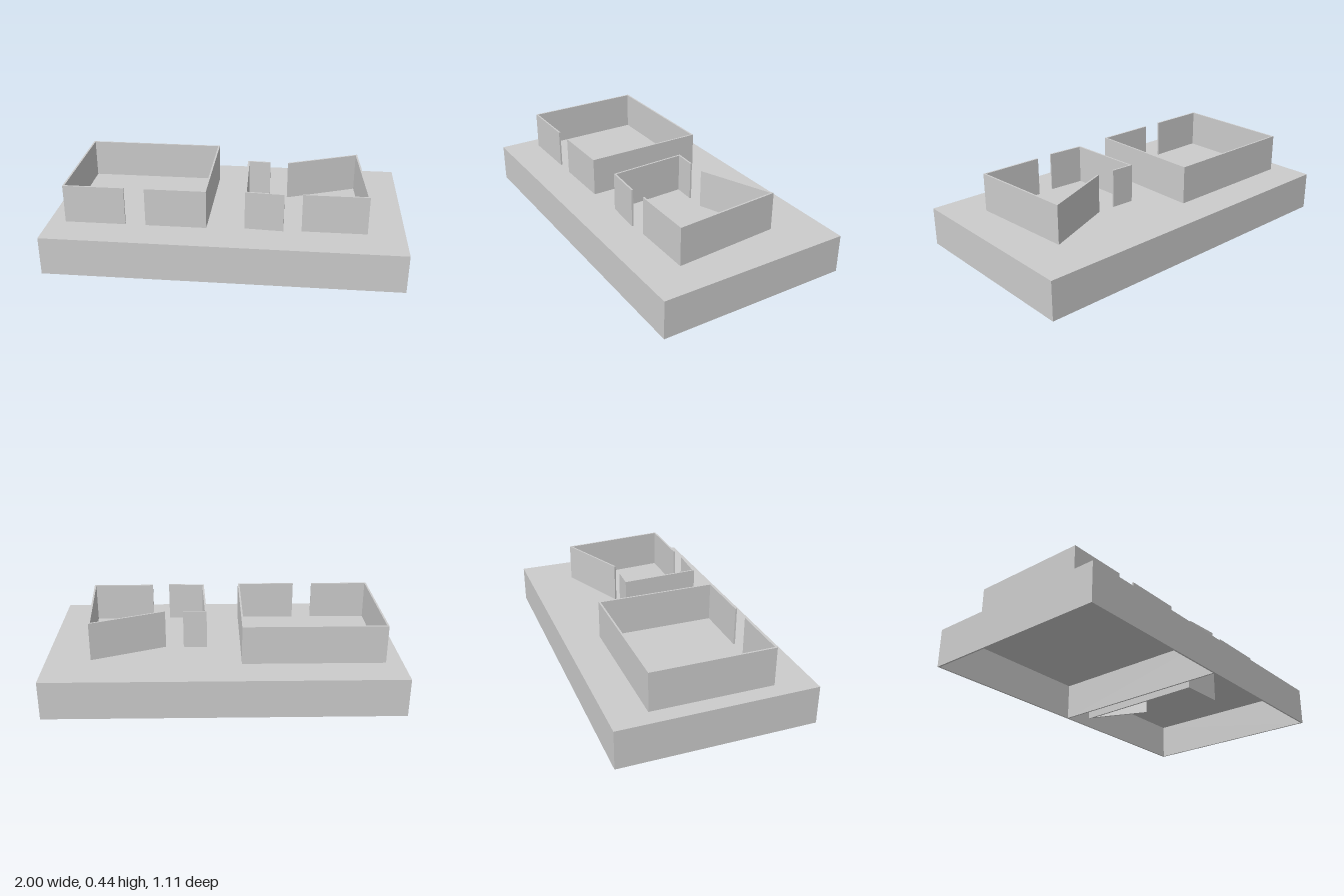
import * as THREE from 'three';

const material = new THREE.MeshStandardMaterial({ color: 0xcccccc, flatShading: true });
const STOREY = 0.222, THICK = 0.01, HALF_X = 1, HALF_Z = 0.555;

// Thin wall with mitred corners along a plan path of [x, z] points.
function wall(name, path, bottom, height) {
  const pts = path.map(([x, z]) => new THREE.Vector2(x, -z));
  const left = [], right = [];
  pts.forEach((p, i) => {
    const before = p.clone().sub(pts[Math.max(i - 1, 0)]).normalize();
    const after = pts[Math.min(i + 1, pts.length - 1)].clone().sub(p).normalize();
    if (i === 0) before.copy(after);
    if (i === pts.length - 1) after.copy(before);
    const n1 = new THREE.Vector2(-before.y, before.x);
    const n2 = new THREE.Vector2(-after.y, after.x);
    const mitre = n1.clone().add(n2).normalize();
    mitre.multiplyScalar(THICK / 2 / mitre.dot(n2));
    left.push(p.clone().add(mitre));
    right.unshift(p.clone().sub(mitre));
  });
  const geometry = new THREE.ExtrudeGeometry(new THREE.Shape([...left, ...right]), {
    depth: height, bevelEnabled: false,
  });
  geometry.rotateX(-Math.PI / 2).translate(0, bottom, 0);
  const mesh = new THREE.Mesh(geometry, material);
  mesh.name = name;
  return mesh;
}

function box(name, w, h, d, y) {
  const mesh = new THREE.Mesh(new THREE.BoxGeometry(w, h, d), material);
  mesh.name = name;
  mesh.position.y = y;
  return mesh;
}

export function createModel() {
  const model = new THREE.Group();
  model.name = 'twoStoreyHouse';

  // Lower storey: open underneath, closed by a thin floor plate on top
  const lower = new THREE.Group();
  lower.name = 'lowerStorey';
  const plate = 0.006;
  const ox = HALF_X - THICK / 2, oz = HALF_Z - THICK / 2;
  const wallHeight = STOREY - plate;
  lower.add(
    box('floorPlate', HALF_X * 2, plate, HALF_Z * 2, STOREY - plate / 2),
    wall('outerWall', [[0, oz], [ox, oz], [ox, -oz], [-ox, -oz], [-ox, oz], [0, oz]], 0, wallHeight),
    box('dividerWall', THICK, wallHeight, HALF_Z * 2 - THICK * 2, wallHeight / 2),
    wall('partition', [[0.33, 0.33], [0.08, 0.323], [0.09, -0.425], [0.23, -0.1]], 0, wallHeight),
  );

  // Upper storey: two roofless rooms with doorways
  const upper = new THREE.Group();
  upper.name = 'upperStorey';
  const rooms = {
    largeRoomWall: [[-0.56, 0.338], [-0.9, 0.338], [-0.9, -0.342], [-0.105, -0.342], [-0.105, 0.338], [-0.445, 0.338]],
    smallRoomCornerWall: [[0.23, -0.11], [0.1, -0.115], [0.118, 0.322], [0.33, 0.335]],
    smallRoomOuterWall: [[0.43, 0.325], [0.787, 0.325], [0.744, -0.277], [0.335, -0.108]],
  };
  for (const [name, path] of Object.entries(rooms)) {
    upper.add(wall(name, path, STOREY, STOREY));
  }

  model.add(lower, upper);
  return model;
}
